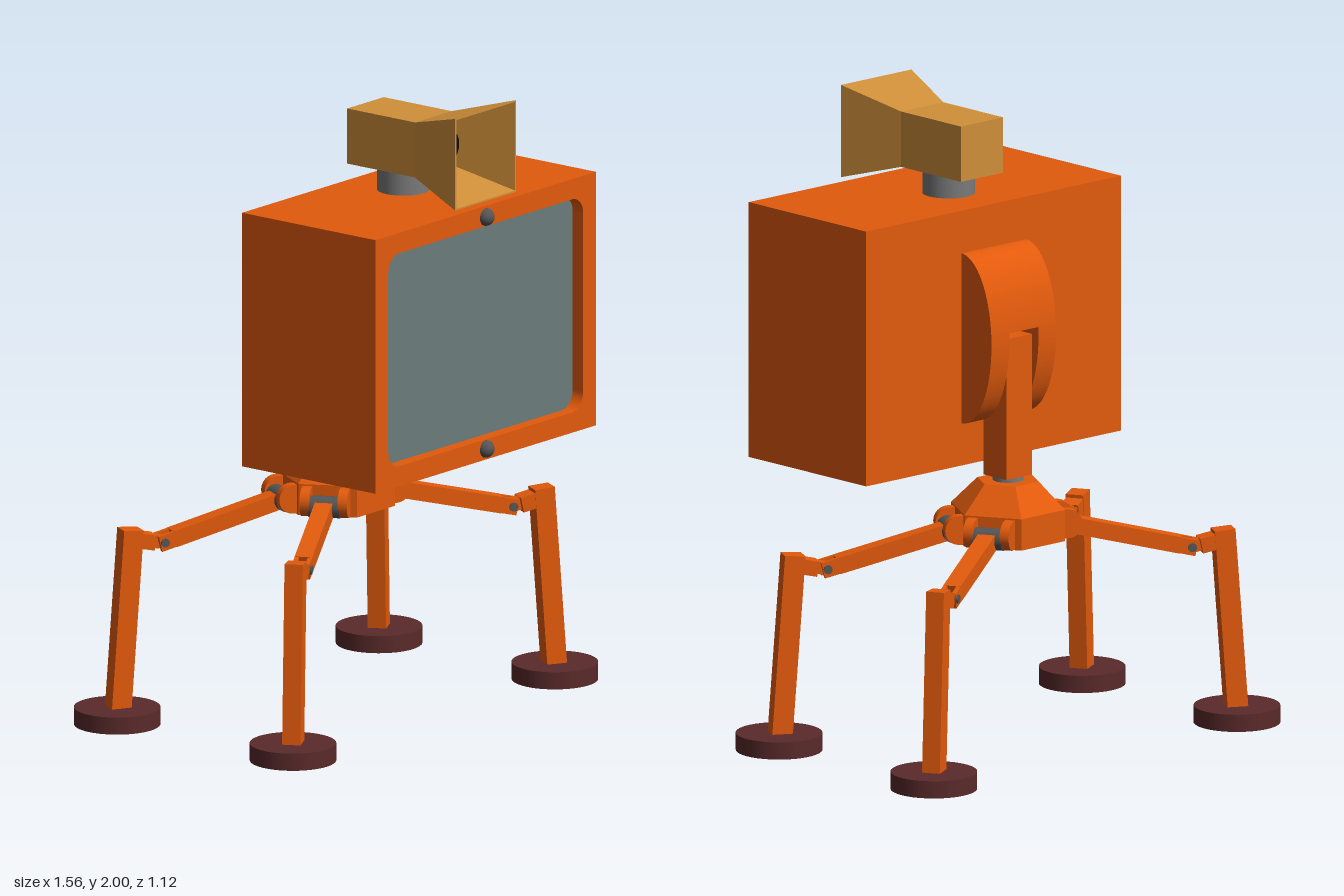
import * as THREE from 'three';

const paint = (color) => new THREE.MeshStandardMaterial({ color });
const orange = paint(0xe25a0c), tan = paint(0xd08f3a), glass = paint(0x6b7b7b);
const maroon = paint(0x5a2a2a), steel = paint(0x7a7a7a), dark = paint(0x555555), black = paint(0x0c0c0c);
const hubZ = -0.07;

function add(parent, name, geometry, material, x = 0, y = 0, z = 0) {
  const mesh = new THREE.Mesh(geometry, material);
  mesh.name = name;
  mesh.position.set(x, y, z);
  parent.add(mesh);
  return mesh;
}

const box = (w, h, d) => new THREE.BoxGeometry(w, h, d);

// straight bar between two points of the (radius, height) plane of a leg
function beam(parent, name, [r0, y0], [r1, y1], height, width, z = 0) {
  const mesh = add(parent, name, box(Math.hypot(r1 - r0, y1 - y0), height, width), orange, (r0 + r1) / 2, (y0 + y1) / 2, z);
  mesh.rotation.z = Math.atan2(y1 - y0, r1 - r0);
  return mesh;
}

// skin through rectangles [z, halfWidth, bottom, top], closed at both ends
function loftRectangles(rings) {
  const corners = rings.map(([z, w, b, t]) => [[-w, b, z], [w, b, z], [w, t, z], [-w, t, z]]);
  const points = [];
  const quad = (a, b, c, d) => points.push(...a, ...b, ...c, ...a, ...c, ...d);
  for (let i = 0; i < corners.length - 1; i++) {
    for (let k = 0; k < 4; k++) {
      const n = (k + 1) % 4;
      quad(corners[i][k], corners[i][n], corners[i + 1][n], corners[i + 1][k]);
    }
  }
  const first = corners[0], last = corners[corners.length - 1];
  quad(first[0], first[3], first[2], first[1]);
  quad(...last);
  const geometry = new THREE.BufferGeometry();
  geometry.setAttribute('position', new THREE.Float32BufferAttribute(points, 3));
  geometry.computeVertexNormals();
  return geometry;
}

function roundedRect(path, x0, y0, x1, y1, r) {
  path.moveTo(x0 + r, y0);
  path.lineTo(x1 - r, y0).absarc(x1 - r, y0 + r, r, -Math.PI / 2, 0, false);
  path.lineTo(x1, y1 - r).absarc(x1 - r, y1 - r, r, 0, Math.PI / 2, false);
  path.lineTo(x0 + r, y1).absarc(x0 + r, y1 - r, r, Math.PI / 2, Math.PI, false);
  path.lineTo(x0, y0 + r).absarc(x0 + r, y0 + r, r, Math.PI, Math.PI * 1.5, false);
  return path;
}

// cabinet with a framed, recessed screen
function createCabinet() {
  const g = new THREE.Group();
  g.name = 'cabinet';
  add(g, 'cabinetBody', box(1.085, 0.815, 0.49), orange, 0, 1.2825, 0.24);
  const frame = new THREE.Shape([[-0.5425, 0.875], [0.5425, 0.875], [0.5425, 1.69], [-0.5425, 1.69]]
    .map(([x, y]) => new THREE.Vector2(x, y)));
  frame.holes.push(roundedRect(new THREE.Path(), -0.48, 0.94, 0.48, 1.625, 0.055));
  add(g, 'screenFrame', new THREE.ExtrudeGeometry(frame, { depth: 0.045, bevelEnabled: false, curveSegments: 8 }), orange, 0, 0, 0.485);
  add(g, 'screen', new THREE.PlaneGeometry(0.98, 0.7), glass, 0, 1.2825, 0.488);
  for (const y of [0.91, 1.655]) add(g, 'stud', new THREE.SphereGeometry(0.028, 20, 14), dark, 0, y, 0.53);
  return g;
}

// hooded lens on a short swivel
function createHood() {
  const g = new THREE.Group();
  g.name = 'lensHood';
  add(g, 'swivel', new THREE.CylinderGeometry(0.082, 0.082, 0.085, 32), steel, 0, 1.73, 0.2);
  add(g, 'hood', loftRectangles([
    [0.048, 0.09, 1.765, 1.942], [0.32, 0.09, 1.765, 1.942], [0.53, 0.15, 1.705, 2],
    [0.53, 0.145, 1.71, 1.995], [0.32, 0.082, 1.773, 1.934],
  ]), tan);
  add(g, 'lens', new THREE.CylinderGeometry(0.054, 0.054, 0.06, 32), black, 0, 1.855, 0.35).rotation.x = Math.PI / 2;
  return g;
}

// half-oval back mount, slotted for the post
function createBackMount() {
  const g = new THREE.Group();
  g.name = 'backMount';
  const slab = (name, from, to, x, width) => {
    const shape = new THREE.Shape();
    shape.moveTo(0, 0.272 * Math.sin(from));
    shape.absellipse(0, 0, 0.138, 0.272, from, to, false, 0);
    shape.lineTo(0, 0.272 * Math.sin(to));
    const geometry = new THREE.ExtrudeGeometry(shape, { depth: width, bevelEnabled: false, curveSegments: 28 });
    geometry.translate(0, 0, -width / 2).rotateY(Math.PI / 2);
    add(g, name, geometry, orange, x, 1.282, -0.004);
  };
  for (const s of [-1, 1]) slab('mountCheek', -Math.PI / 2, Math.PI / 2, s * 0.1, 0.075);
  slab('mountBridge', 0.1, Math.PI / 2, 0, 0.125);
  add(g, 'post', box(0.108, 0.45, 0.105), orange, 0, 1.06, -0.068);
  return g;
}

// six-sided hub the legs hang from
function createHub() {
  const g = new THREE.Group();
  g.name = 'hub';
  g.position.z = hubZ;
  const hex = (top, bottom, h) => new THREE.CylinderGeometry(top, bottom, h, 6, 1, false, Math.PI / 6 * 3).toNonIndexed();
  const flat = orange.clone();
  flat.flatShading = true;
  add(g, 'hubTop', hex(0.1, 0.185, 0.085), flat, 0, 0.7775, 0);
  add(g, 'hubBase', hex(0.185, 0.185, 0.1), flat, 0, 0.685, 0);
  add(g, 'collar', new THREE.CylinderGeometry(0.048, 0.048, 0.05, 24), steel, 0, 0.83, 0);
  return g;
}

// local x runs outward, z across the leg
function createLeg(angle) {
  const g = new THREE.Group();
  g.name = 'leg';
  g.position.z = hubZ;
  g.rotation.y = angle;
  const pin = (name, radius, length, x, y) =>
    add(g, name, new THREE.CylinderGeometry(radius, radius, length, 20), dark, x, y, 0).rotation.x = Math.PI / 2;
  for (const s of [-1, 1]) {
    const ear = add(g, 'hipEar', new THREE.CylinderGeometry(0.046, 0.046, 0.03, 24), orange, 0.175, 0.684, s * 0.06);
    ear.rotation.x = Math.PI / 2;
    add(g, 'hipEarRoot', box(0.06, 0.092, 0.03), orange, 0.145, 0.684, s * 0.06);
    beam(g, 'kneeFork', [0.535, 0.585], [0.6, 0.569], 0.05, 0.014, s * 0.021);
  }
  pin('hipPin', 0.034, 0.1, 0.185, 0.672);
  beam(g, 'thigh', [0.19, 0.67], [0.55, 0.581], 0.052, 0.056);
  pin('kneePin', 0.014, 0.066, 0.585, 0.573);
  beam(g, 'kneeTongue', [0.565, 0.567], [0.63, 0.581], 0.04, 0.028);
  beam(g, 'kneeBlock', [0.615, 0.575], [0.69, 0.591], 0.048, 0.056);
  beam(g, 'shin', [0.69, 0.622], [0.732, 0.04], 0.066, 0.058);
  add(g, 'foot', new THREE.CylinderGeometry(0.135, 0.135, 0.055, 40), maroon, 0.735, 0.0275, 0);
  return g;
}

export function createModel() {
  const model = new THREE.Group();
  model.name = 'walkingScreen';
  model.add(createCabinet(), createHood(), createBackMount(), createHub());
  const spread = 0.5;
  for (const a of [spread, Math.PI - spread, Math.PI + spread, -spread]) model.add(createLeg(a));
  return model;
}
